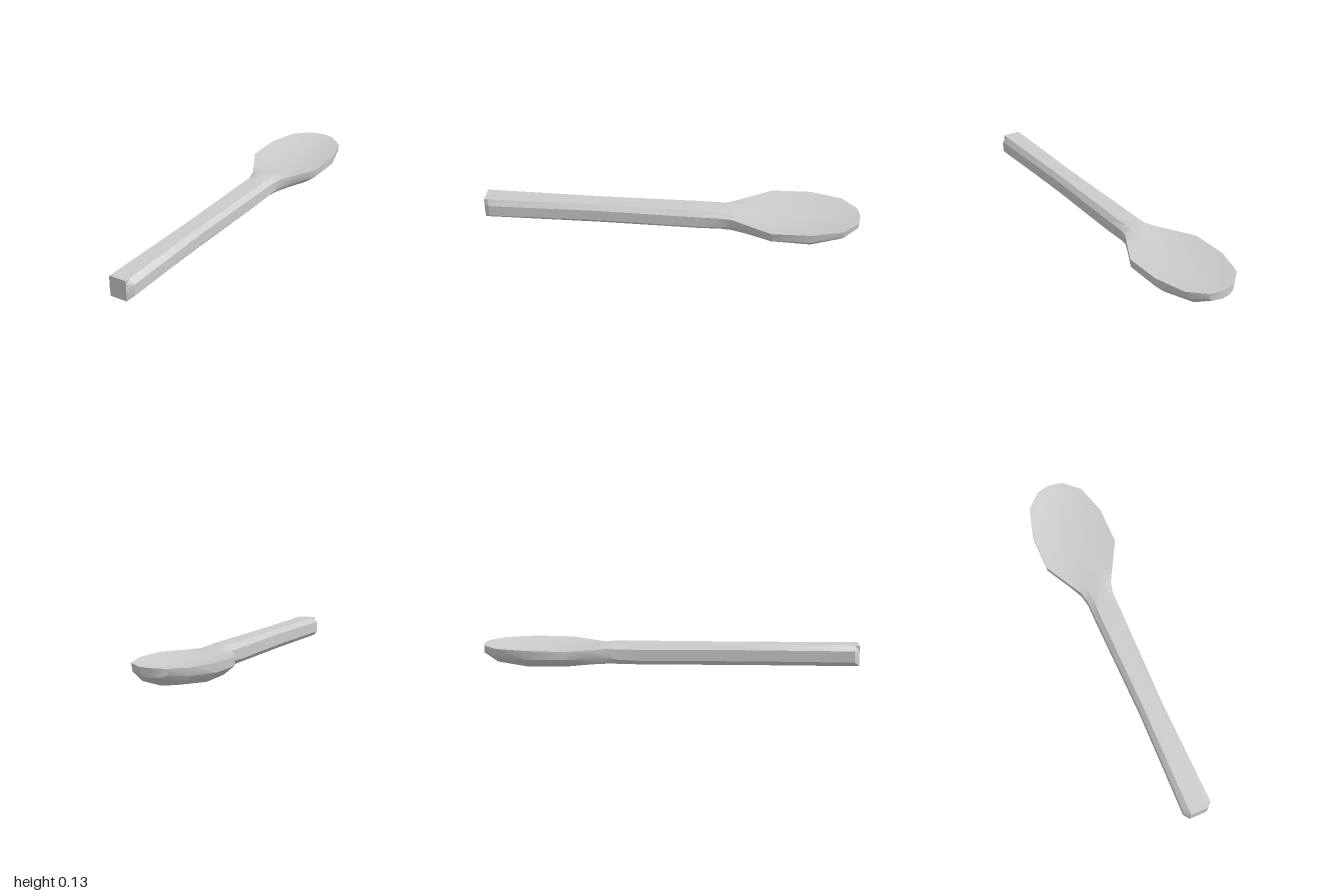
import * as THREE from 'three';
import { toCreasedNormals } from 'three/addons/utils/BufferGeometryUtils.js';

// Each section: z, top centre y, four right-hand [x, y] points going down, bottom centre y, z of the centre line
const handleSection = (z, flat, half) =>
  [z, 0.13, [[flat, 0.13], [half, 0.105], [half, 0.045], [flat, 0.02]], 0.02];

const sections = [
  // handle, with bevelled end and slim waist
  handleSection(1, 0.047, 0.047),
  handleSection(0.972, 0.047, 0.074),
  handleSection(0.4, 0.041, 0.063),
  handleSection(-0.16, 0.047, 0.072),
  // neck
  [-0.27, 0.13, [[0.046, 0.129], [0.073, 0.105], [0.073, 0.05], [0.046, 0.022]], 0.02],
  [-0.33, 0.124, [[0.05, 0.127], [0.088, 0.112], [0.086, 0.06], [0.056, 0.025]], 0.02],
  // bowl: shallow hollow, rim, side, underside
  [-0.41, 0.108, [[0.06, 0.109], [0.132, 0.114], [0.128, 0.07], [0.085, 0.027]], 0.016],
  [-0.54, 0.094, [[0.1, 0.1], [0.203, 0.118], [0.2, 0.075], [0.14, 0.027]], 0.008],
  [-0.745, 0.09, [[0.1, 0.098], [0.203, 0.122], [0.2, 0.075], [0.15, 0.028]], 0.002],
  [-0.91, 0.104, [[0.08, 0.108], [0.156, 0.122], [0.15, 0.082], [0.1, 0.042]], 0.027],
  [-0.985, 0.122, [[0.04, 0.122], [0.075, 0.122], [0.072, 0.092], [0.045, 0.08]], 0.077, -1],
];

function loft(rows) {
  const position = [], index = [];
  const n = 10;
  for (const [z, top, side, bottom, zc = z] of rows) {
    const zAt = (x) => zc + (z - zc) * Math.min(1, (x / side[1][0]) ** 2);
    const right = side.map(([x, y]) => [x, y, zAt(x)]);
    const left = right.map(([x, y, pz]) => [-x, y, pz]).reverse();
    position.push(...[[0, top, zc], ...right, [0, bottom, zc], ...left].flat());
  }
  for (let i = 0; i < rows.length - 1; i++) {
    for (let j = 0; j < n; j++) {
      const a = i * n + j, b = i * n + (j + 1) % n, c = a + n, d = b + n;
      // mirrored diagonals keep both halves alike
      if (j < n / 2) index.push(a, b, c, b, d, c);
      else index.push(a, b, d, a, d, c);
    }
  }
  // end caps
  const last = (rows.length - 1) * n;
  for (let j = 1; j < n - 1; j++) {
    index.push(0, j + 1, j);
    index.push(last, last + j, last + j + 1);
  }
  const geometry = new THREE.BufferGeometry();
  geometry.setAttribute('position', new THREE.Float32BufferAttribute(position, 3));
  geometry.setIndex(index);
  return toCreasedNormals(geometry, 0.72);
}

export function createModel() {
  const group = new THREE.Group();
  group.name = 'spoon';
  const material = new THREE.MeshStandardMaterial({ color: 0xcccccc });
  // handle, neck and bowl form one continuous skin
  const body = new THREE.Mesh(loft(sections), material);
  body.name = 'handleAndBowl';
  group.add(body);
  return group;
}
